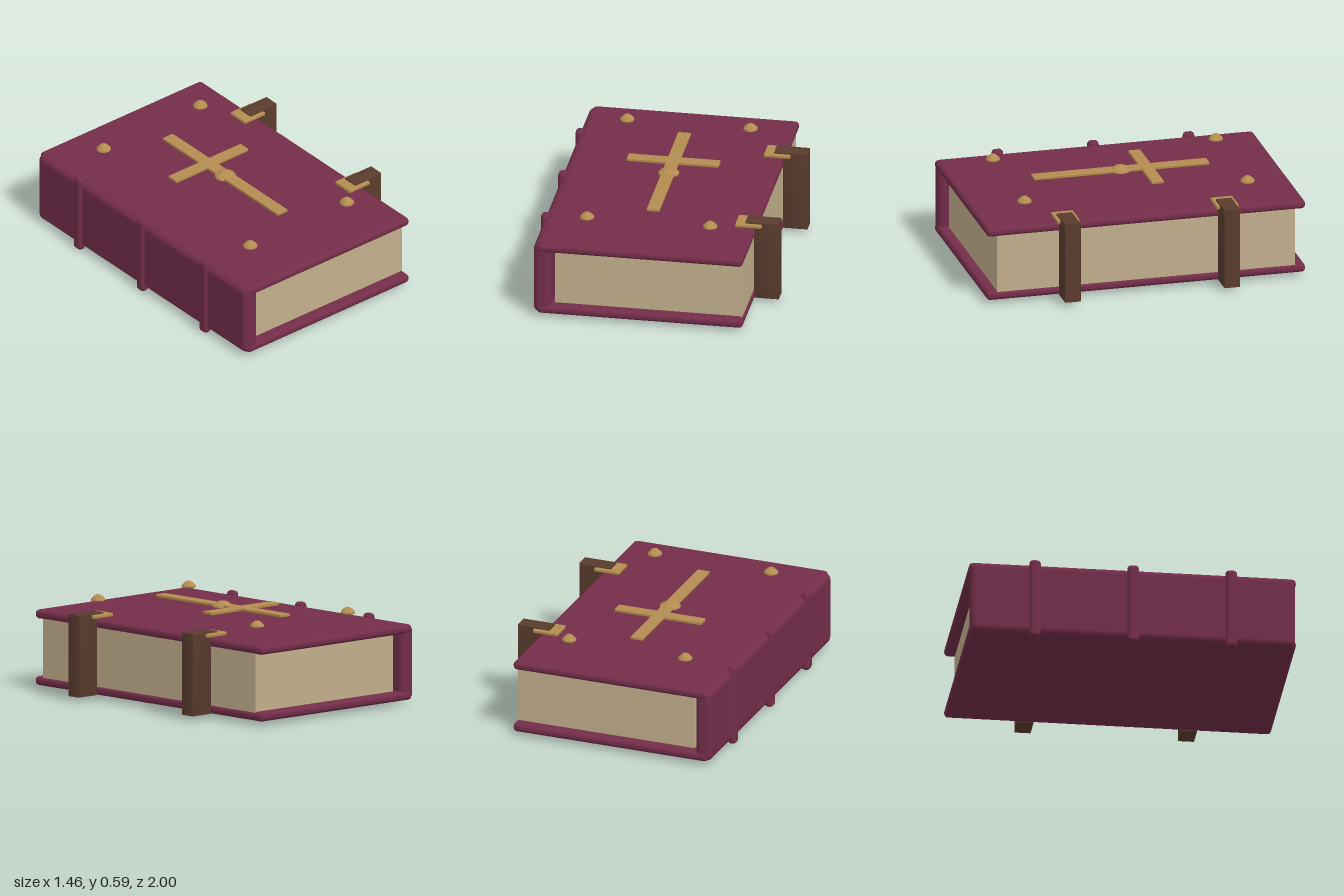
import * as THREE from 'three';
import { RoundedBoxGeometry } from 'three/addons/geometries/RoundedBoxGeometry.js';
import { toCreasedNormals } from 'three/addons/utils/BufferGeometryUtils.js';

const material = (name, color) => {
  const m = new THREE.MeshStandardMaterial({ color });
  m.name = name;
  return m;
};

export function createModel() {
  const book = new THREE.Group();
  book.name = 'claspedBook';
  const leather = material('maroon leather', 0x732d49);
  const paper = material('aged paper', 0xc2ae8b);
  const brass = material('brass', 0xb38c50);
  const strapLeather = material('brown leather', 0x5a3c2d);

  const add = (name, geometry, mat) => {
    const mesh = new THREE.Mesh(geometry, mat);
    mesh.name = name;
    book.add(mesh);
    return mesh;
  };
  // Rounded box given by its extents along each axis
  const box = (name, mat, [x0, x1], [y0, y1], [z0, z1], r, seg = 3) => {
    const mesh = add(name, new RoundedBoxGeometry(x1 - x0, y1 - y0, z1 - z0, seg, r), mat);
    mesh.position.set((x0 + x1) / 2, (y0 + y1) / 2, (z0 + z1) / 2);
    return mesh;
  };

  // Covers, spine and page block
  box('bottomCover', leather, [-0.69, 0.58], [0.03, 0.085], [-1, 1], 0.024);
  box('topCover', leather, [-0.69, 0.58], [0.44, 0.495], [-1, 1], 0.024);
  box('spine', leather, [-0.712, -0.607], [0.03, 0.492], [-0.995, 0.995], 0.04, 4);
  const pages = add('pages', new THREE.BoxGeometry(1.155, 0.37, 1.87), paper);
  pages.position.set(-0.0075, 0.2625, 0);

  // Raised bands across the spine
  for (const z of [-0.6, 0, 0.6]) {
    box('spineBand', leather, [-0.73, -0.675], [0.005, 0.517], [z - 0.035, z + 0.035], 0.024);
  }

  // Closing straps: a thick upright with a lip folded over the clasp plate
  const profile = new THREE.Shape([
    [0.578, 0.034], [0.721, 0.034], [0.721, 0.531], [0.524, 0.531], [0.524, 0.515], [0.578, 0.515],
  ].map(([x, y]) => new THREE.Vector2(x, y)));
  const strapGeometry = toCreasedNormals(new THREE.ExtrudeGeometry(profile, {
    depth: 0.092, bevelThickness: 0.004, bevelSize: 0.004, bevelSegments: 2,
  }).translate(0, 0, -0.046), 0.6);
  for (const z of [-0.5, 0.5]) {
    add('strap', strapGeometry, strapLeather).position.z = z;
    box('claspPlate', brass, [0.458, 0.622], [0.502, 0.526], [z - 0.07, z + 0.07], 0.008, 2);
  }

  // Raised cross on the cover
  box('crossUpright', brass, [-0.09, -0.01], [0.556, 0.575], [-0.55, 0.55], 0.005, 2);
  box('crossArm', brass, [-0.333, 0.235], [0.556, 0.576], [-0.2, -0.123], 0.005, 2);

  // Domed studs at the corners and the centre
  const studGeometry = (radius) => toCreasedNormals(new THREE.LatheGeometry([
    [0, 0.552], [0.8, 0.552], [1, 0.559], [0.96, 0.567], [0.6, 0.584], [0.27, 0.594], [0, 0.596],
  ].map(([r, y]) => new THREE.Vector2(r * radius, y)), 12), 0.5);
  const cornerStud = studGeometry(0.045);
  for (const x of [-0.43, 0.33]) {
    for (const z of [-0.7, 0.7]) add('cornerStud', cornerStud, brass).position.set(x, 0, z);
  }
  add('centreStud', studGeometry(0.066), brass).position.set(-0.05, 0, 0);

  return book;
}
